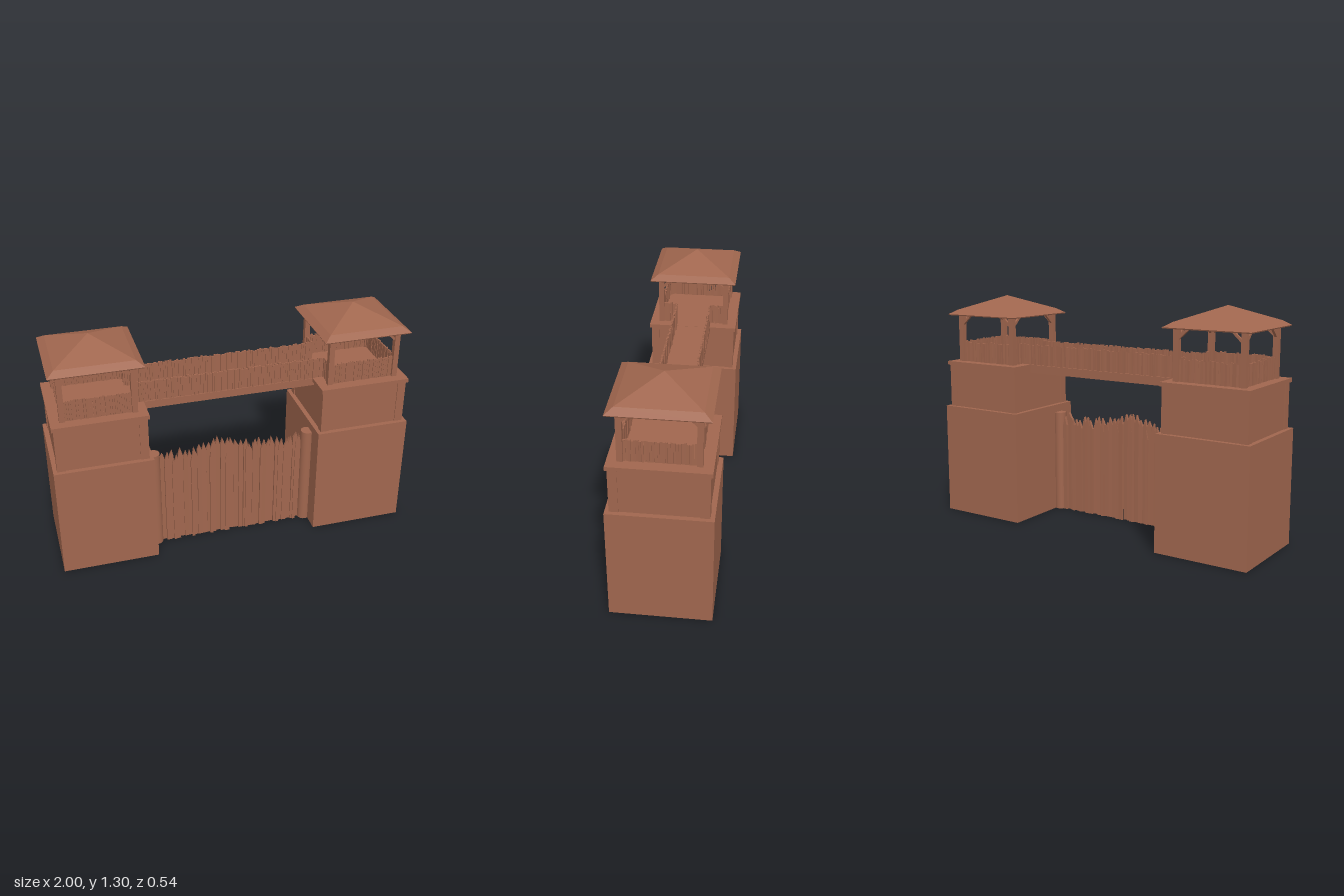
import * as THREE from 'three';
import { mergeGeometries } from 'three/addons/utils/BufferGeometryUtils.js';

const wood = new THREE.MeshStandardMaterial({ color: 0xa0664e, flatShading: true });
const roundWood = new THREE.MeshStandardMaterial({ color: 0xa0664e });

let seed = 7;
const rand = () => (seed = (seed * 16807) % 2147483647) / 2147483647;
const jitter = (a) => (rand() * 2 - 1) * a;

function add(parent, name, geometry, x = 0, y = 0, z = 0, material = wood) {
  const mesh = new THREE.Mesh(geometry, material);
  mesh.name = name;
  mesh.position.set(x, y, z);
  parent.add(mesh);
  return mesh;
}

// Box standing between two heights
function block(parent, name, w, d, y0, y1, x = 0, z = 0) {
  return add(parent, name, new THREE.BoxGeometry(w, y1 - y0, d), x, (y0 + y1) / 2, z);
}

// Row of narrow uneven slats along x, standing on the deck
function slatRow(length) {
  const n = Math.round(length / 0.0125), step = length / n, parts = [];
  for (let i = 0; i < n; i++) {
    const h = 0.116 + jitter(0.005);
    const g = new THREE.BoxGeometry(step * 0.94, h, 0.009);
    g.rotateY(jitter(0.15));
    g.translate(-length / 2 + (i + 0.5) * step, h / 2, jitter(0.003));
    parts.push(g);
  }
  return mergeGeometries(parts);
}

function railing(parent, x, z, length, turn = 0) {
  add(parent, 'railing', slatRow(length), x, 0.915, z).rotation.y = turn;
}

// Tower about its own centre; inner = direction of the bridge along x
function tower(inner) {
  const g = new THREE.Group();
  g.name = 'tower';
  block(g, 'base', 0.535, 0.536, 0, 0.645);
  block(g, 'upperWall', 0.482, 0.482, 0.645, 0.893);
  block(g, 'platform', 0.51, 0.512, 0.893, 0.915);

  for (const sx of [-1, 1]) for (const sz of [-1, 1]) {
    block(g, 'cornerPilaster', 0.047, 0.047, 0.645, 0.893, sx * 0.2225, sz * 0.2225);
    block(g, 'roofPost', 0.03, 0.03, 0.915, 1.195, sx * 0.19, sz * 0.19);
    // Diagonal braces toward both neighbouring posts
    const alongX = add(g, 'brace', new THREE.BoxGeometry(0.09, 0.013, 0.014), sx * 0.151, 1.164, sz * 0.19);
    alongX.rotation.z = -sx * 0.75;
    const alongZ = add(g, 'brace', new THREE.BoxGeometry(0.014, 0.013, 0.09), sx * 0.19, 1.164, sz * 0.151);
    alongZ.rotation.x = sz * 0.75;
  }

  // Railings: three full sides, the inner side open to the bridge
  railing(g, 0, 0.19, 0.35);
  railing(g, 0, -0.19, 0.35);
  railing(g, -inner * 0.19, 0, 0.35, Math.PI / 2);
  for (const s of [-1, 1]) railing(g, inner * 0.19, s * 0.138, 0.075, Math.PI / 2);

  // Hipped roof with a steeper skirt
  const r = Math.SQRT2;
  const profile = [[0, 1.19], [0.245, 1.188], [0.248, 1.194], [0.208, 1.22], [0, 1.302]]
    .map(([x, y]) => new THREE.Vector2(x * r, y));
  add(g, 'roof', new THREE.LatheGeometry(profile, 4, Math.PI / 4));
  return g;
}

// Pointed gate plank with a rough tip
function plank(w, h, d) {
  const k = w / 2, tip = jitter(k * 0.5), drop = 0.035 + rand() * 0.025;
  const s = new THREE.Shape();
  s.moveTo(-k, 0);
  s.lineTo(k, 0);
  s.lineTo(k + jitter(0.002), h * 0.5);
  s.lineTo(k, h - drop);
  s.lineTo(tip, h);
  s.lineTo(-k, h - drop * 0.9);
  s.lineTo(-k + jitter(0.002), h * 0.45);
  s.closePath();
  const g = new THREE.ExtrudeGeometry(s, { depth: d, bevelEnabled: false });
  g.translate(0, 0, -d / 2);
  return g;
}

function gate() {
  const g = new THREE.Group();
  g.name = 'gate';
  for (const s of [-1, 1]) {
    add(g, 'gatePost', new THREE.CylinderGeometry(0.036, 0.036, 0.6, 20), s * 0.448, 0.3, 0.137, roundWood);
  }
  // Planks rise to a crest left of the middle
  const n = 31, span = 0.83, step = span / n;
  for (let i = 0; i < n; i++) {
    const x = -span / 2 + (i + 0.5) * step;
    const h = 0.585 + 0.05 * Math.exp(-(((x + 0.09) / 0.12) ** 2)) + jitter(0.02);
    add(g, 'gatePlank', plank(step * (1.0 + jitter(0.07)), h, 0.016), x, 0, 0.137 + jitter(0.01))
      .rotation.y = jitter(0.12);
  }
  // Narrow slats overlapping the seams
  for (let i = 0; i < 16; i++) {
    const x = -0.39 + i * 0.052 + jitter(0.01);
    add(g, 'gateSlat', plank(0.016, 0.565 + jitter(0.015), 0.012), x, 0, 0.137 + (i % 2 ? 0.012 : -0.012));
  }
  return g;
}

export function createModel() {
  const model = new THREE.Group();
  model.name = 'gatehouse';

  for (const s of [-1, 1]) {
    const t = tower(-s);
    t.position.x = s * 0.7325;
    model.add(t);
  }

  // Bridge between the towers
  const bridge = new THREE.Group();
  bridge.name = 'bridge';
  block(bridge, 'deck', 0.97, 0.21, 0.89, 0.914);
  block(bridge, 'deckBeam', 0.98, 0.19, 0.865, 0.89);
  for (const s of [-1, 1]) railing(bridge, 0, s * 0.098, 1.08);
  model.add(bridge);

  model.add(gate());
  return model;
}
